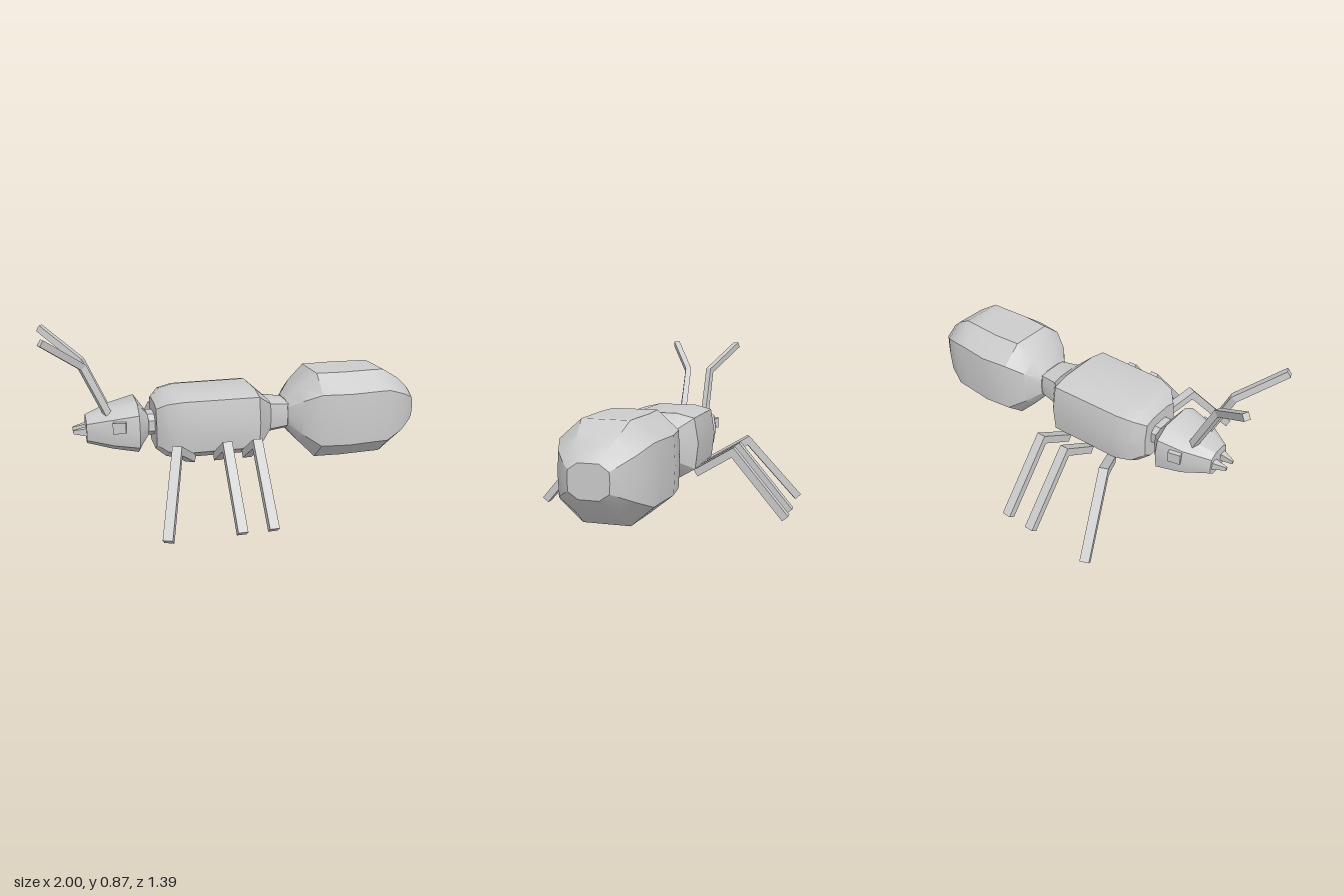
import * as THREE from 'three';
import { toCreasedNormals } from 'three/addons/utils/BufferGeometryUtils.js';

const material = new THREE.MeshStandardMaterial({ color: 0xcccccc });
const V = (x, y, z) => new THREE.Vector3(x, y, z);

// Skins a row of equal-length rings and caps both ends
function skin(rings, crease) {
  const n = rings[0].length;
  const tris = [];
  for (let r = 0; r < rings.length - 1; r++) {
    for (let i = 0; i < n; i++) {
      const j = (i + 1) % n;
      const [a, b, c, d] = [rings[r][i], rings[r][j], rings[r + 1][j], rings[r + 1][i]];
      tris.push([a, b, c], [a, c, d]);
    }
  }
  const last = rings[rings.length - 1];
  for (let i = 1; i < n - 1; i++) {
    tris.push([rings[0][0], rings[0][i + 1], rings[0][i]], [last[0], last[i], last[i + 1]]);
  }
  // A negative volume means the corners run the wrong way round
  const volume = tris.reduce((s, [a, b, c]) => s + a.dot(b.clone().cross(c)), 0);
  const points = tris.flatMap(([a, b, c]) => (volume < 0 ? [a, c, b] : [a, b, c]));
  return toCreasedNormals(new THREE.BufferGeometry().setFromPoints(points), crease);
}

// Body part along x: sections are [x, bottom, top, halfWidth],
// outline is the half cross-section from top to bottom as [z, y] in -1..1
function bodyPart(outline, sections, crease = 0.55) {
  const loop = [...outline, ...outline.map(([z, y]) => [-z, y]).reverse()];
  const rings = sections.map(([x, lo, hi, w]) =>
    loop.map(([z, y]) => V(x, (lo + hi) / 2 + y * (hi - lo) / 2, z * w)));
  return skin(rings, crease);
}

// Square bar with mitred joints along a bent path
function bar(path, width, depth) {
  const side = path[path.length - 1].clone().sub(path[0]).cross(V(0, 1, 0)).normalize();
  const rings = path.map((p, i) => {
    const before = p.clone().sub(path[Math.max(i - 1, 0)]).normalize();
    const after = path[Math.min(i + 1, path.length - 1)].clone().sub(p).normalize();
    const tangent = before.clone().add(after).normalize();
    const mitre = 1 / Math.max(0.5, tangent.dot(i ? before : after));
    const up = side.clone().cross(tangent).normalize().multiplyScalar(depth / 2 * mitre);
    return [[-1, -1], [1, -1], [1, 1], [-1, 1]].map(([s, u]) =>
      p.clone().addScaledVector(side, s * width / 2).addScaledVector(up, u));
  });
  return skin(rings, 0.3);
}

export function createModel() {
  const model = new THREE.Group();
  const add = (name, geometry) => {
    const mesh = new THREE.Mesh(geometry, material);
    mesh.name = name;
    model.add(mesh);
    return mesh;
  };

  // Abdomen: chamfered barrel
  add('abdomen', bodyPart([[0.5, 1], [0.97, 0.6], [1, 0], [0.97, -0.6], [0.5, -1]], [
    [0.27, 0.30, 0.455, 0.10], [0.33, 0.23, 0.53, 0.17], [0.42, 0.14, 0.605, 0.225],
    [0.57, 0.14, 0.605, 0.245], [0.72, 0.14, 0.605, 0.23], [0.80, 0.14, 0.605, 0.225],
    [0.90, 0.205, 0.545, 0.185], [0.97, 0.265, 0.485, 0.13], [1.0, 0.295, 0.45, 0.095],
  ]));

  // Thorax, narrowing into the waist
  add('thorax', bodyPart([[0.48, 1], [0.9, 0.87], [1, 0.1], [0.93, -0.7], [0.55, -1]], [
    [-0.44, 0.25, 0.49, 0.13], [-0.39, 0.215, 0.53, 0.19], [-0.31, 0.205, 0.545, 0.218],
    [0.08, 0.205, 0.545, 0.225], [0.17, 0.29, 0.465, 0.115], [0.28, 0.30, 0.45, 0.095],
  ]));

  // Neck
  add('neck', bodyPart([[0.6, 1], [1, 0.5], [1, -0.5], [0.6, -1]],
    [[-0.5, 0.32, 0.43, 0.08], [-0.43, 0.32, 0.43, 0.075]]));

  // Head: wedge tapering toward the mouth
  add('head', bodyPart([[0.5, 1], [0.92, 0.65], [1, 0], [0.92, -0.65], [0.5, -1]], [
    [-0.785, 0.30, 0.43, 0.075], [-0.66, 0.27, 0.475, 0.145],
    [-0.53, 0.245, 0.505, 0.175], [-0.475, 0.32, 0.43, 0.10],
  ]));

  // Legs: hip, knee and foot for each pair
  const legs = {
    frontLeg: [V(-0.28, 0.225, 0.19), V(-0.385, 0.345, 0.395), V(-0.485, 0.015, 0.67)],
    middleLeg: [V(-0.14, 0.225, 0.2), V(-0.14, 0.345, 0.395), V(-0.14, 0.015, 0.675)],
    hindLeg: [V(0.012, 0.225, 0.2), V(0.012, 0.345, 0.395), V(0.012, 0.015, 0.675)],
  };
  const antenna = [V(-0.675, 0.45, 0.07), V(-0.79, 0.705, 0.07), V(-0.98, 0.86, 0.2)];
  const mandible = [[-0.77, 0.34, 0.385, 0.02, 0.065], [-0.85, 0.352, 0.37, 0.025, 0.035]];

  for (const s of [1, -1]) {
    const tag = s > 0 ? 'Left' : 'Right';
    const flip = (path) => path.map((p) => V(p.x, p.y, p.z * s));
    for (const [name, path] of Object.entries(legs)) add(name + tag, bar(flip(path), 0.047, 0.04));
    add('antenna' + tag, bar(flip(antenna), 0.034, 0.034));

    // Mandibles
    add('mandible' + tag, skin(mandible.map(([x, lo, hi, z0, z1]) =>
      [V(x, lo, z0 * s), V(x, hi, z0 * s), V(x, hi, z1 * s), V(x, lo, z1 * s)]), 0.3));

    // Eyes
    const eye = add('eye' + tag, new THREE.BoxGeometry(0.065, 0.055, 0.04));
    eye.position.set(-0.627, 0.403, 0.147 * s);
    eye.rotation.y = -0.22 * s;
  }
  return model;
}
